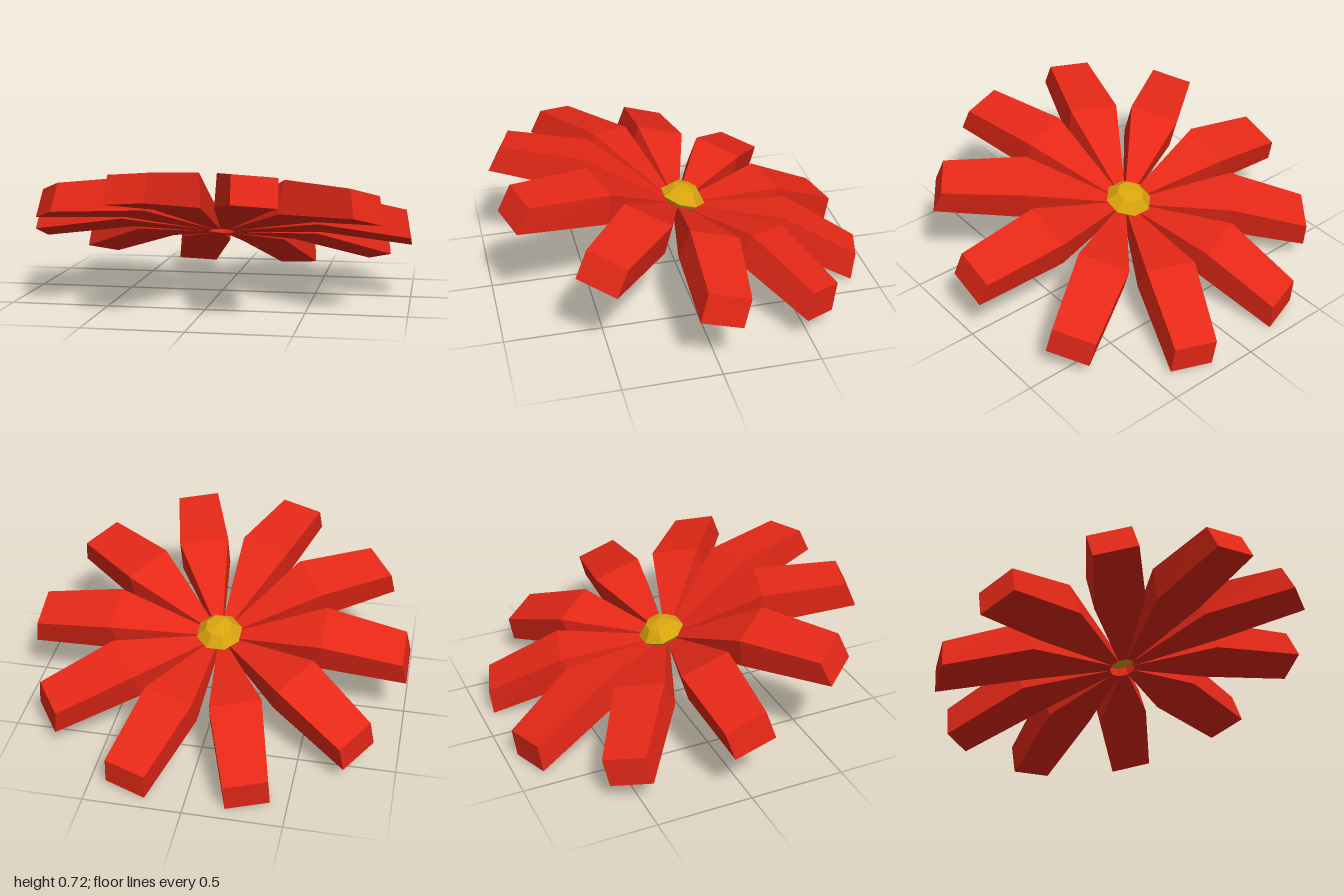
import * as THREE from 'three';

const red = new THREE.MeshStandardMaterial({ color: 0xe52817, flatShading: true });
const gold = new THREE.MeshStandardMaterial({ color: 0xd9a40f, flatShading: true });

// Petal cross-sections from the heart to the tip
const sections = [
  { rBottom: 0.07, rTop: 0.07, bottom: 0.03, top: 0.1, left: 0.022, right: 0.022 },
  { rBottom: 0.52, rTop: 0.55, bottom: 0.06, top: 0.233, left: 0.145, right: 0.12 },
  { rBottom: 1.0, rTop: 0.973, bottom: 0, top: 0.149, left: 0.112, right: 0.112 },
];

// A box with two segments, each ring of corners moved to its cross-section
function petalGeometry() {
  const geometry = new THREE.BoxGeometry(1, 1, 1, 2, 1, 1);
  const p = geometry.attributes.position;
  for (let i = 0; i < p.count; i++) {
    const s = sections[Math.round((p.getX(i) + 0.5) * 2)];
    const isTop = p.getY(i) > 0;
    p.setXYZ(i, isTop ? s.rTop : s.rBottom, isTop ? s.top : s.bottom, p.getZ(i) > 0 ? s.right : -s.left);
  }
  geometry.computeVertexNormals();
  return geometry;
}

export function createModel() {
  const model = new THREE.Group();
  model.name = 'flower';

  // The whole blossom leans backwards
  const blossom = new THREE.Group();
  blossom.name = 'blossom';
  blossom.rotation.x = THREE.MathUtils.degToRad(-17.3);
  blossom.position.set(0, 0.2925, 0.01);
  model.add(blossom);

  // Ring of ten petals
  const geometry = petalGeometry();
  for (let i = 0; i < 10; i++) {
    const petal = new THREE.Mesh(geometry, red);
    petal.name = `petal${i + 1}`;
    petal.rotation.y = (i * Math.PI) / 5;
    blossom.add(petal);
  }

  // Faceted dome in the middle
  const profile = [[0, 0.08], [0.085, 0.08], [0.122, 0.13], [0.07, 0.185], [0, 0.2]];
  const heart = new THREE.Mesh(
    new THREE.LatheGeometry(profile.map(([x, y]) => new THREE.Vector2(x, y)), 8, Math.PI / 8),
    gold
  );
  heart.name = 'flowerHeart';
  heart.position.z = -0.015;
  blossom.add(heart);

  return model;
}
